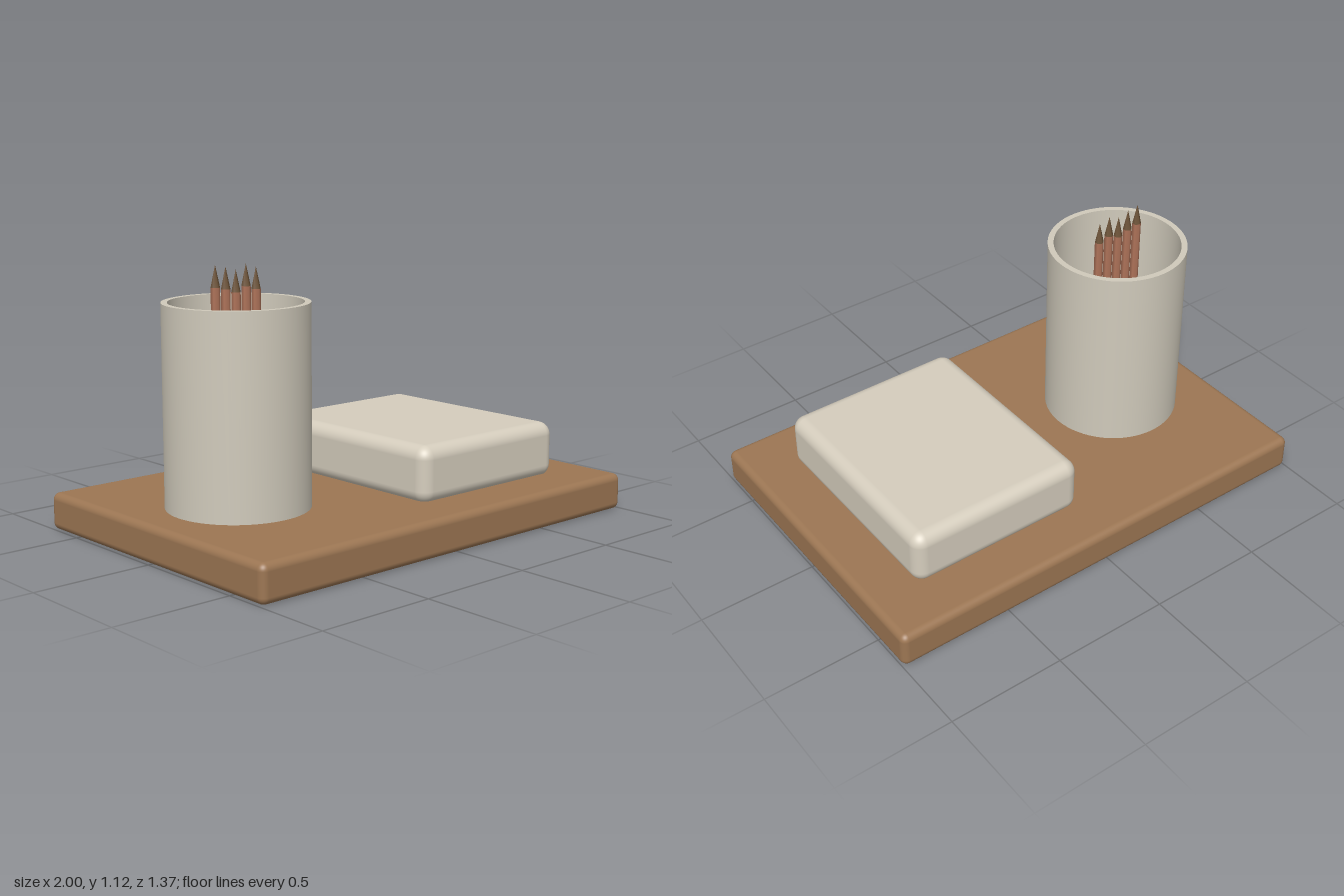
import * as THREE from 'three';
import { RoundedBoxGeometry } from 'three/addons/geometries/RoundedBoxGeometry.js';

const material = (name, color) => {
  const m = new THREE.MeshStandardMaterial({ color });
  m.name = name;
  return m;
};

export function createModel() {
  const wood = material('wood', 0x9c7653);
  const stone = material('stone', 0xd5cdbd);
  const ceramic = material('ceramic', 0xd0cabb);
  const pencilWood = material('pencil wood', 0xb0745a);
  const pencilPoint = material('pencil point', 0x6e5439);

  const group = new THREE.Group();
  group.name = 'deskOrganizer';
  const add = (parent, name, geometry, mat, x, y, z) => {
    const mesh = new THREE.Mesh(geometry, mat);
    mesh.name = name;
    mesh.position.set(x, y, z);
    parent.add(mesh);
    return mesh;
  };

  // Tray and the soft-edged block, sunk slightly into it
  add(group, 'tray', new RoundedBoxGeometry(2, 0.155, 1.37, 6, 0.03), wood, 0, 0.0775, 0);
  add(group, 'block', new RoundedBoxGeometry(0.795, 0.24, 0.96, 6, 0.055), stone, 0.3975, 0.26, 0);

  // Hollow cup: each straight run is its own lathe, so the rim stays sharp
  const cupX = -0.56;
  const cup = new THREE.Group();
  cup.name = 'cup';
  cup.position.x = cupX;
  group.add(cup);
  const outer = 0.292, inner = 0.267, bottom = 0.15, floor = 0.18, top = 0.97;
  const runs = {
    cupBase: [[0, bottom], [outer, bottom]],
    cupWall: [[outer, bottom], [outer, top]],
    cupRim: [[outer, top], [inner, top]],
    cupInside: [[inner, top], [inner, floor]],
    cupFloor: [[inner, floor], [0, floor]],
  };
  for (const [name, points] of Object.entries(runs)) {
    const profile = points.map(([r, y]) => new THREE.Vector2(r, y));
    add(cup, name, new THREE.LatheGeometry(profile, 64), ceramic, 0, 0, 0);
  }

  // Row of six-sided pencils standing in the cup
  const tips = [1.12, 1.11, 1.095, 1.115, 1.1];
  const radius = 0.0185, pointHeight = 0.088;
  tips.forEach((tip, i) => {
    const pencil = new THREE.Group();
    pencil.name = `pencil${i + 1}`;
    pencil.position.x = cupX + (i - 2) * 0.05;
    group.add(pencil);
    const shoulder = tip - pointHeight, length = shoulder - floor;
    add(pencil, 'pencilBody', new THREE.CylinderGeometry(radius, radius, length, 6),
      pencilWood, 0, floor + length / 2, 0);
    add(pencil, 'pencilTip', new THREE.ConeGeometry(radius, pointHeight, 6),
      pencilPoint, 0, shoulder + pointHeight / 2, 0);
  });

  return group;
}
